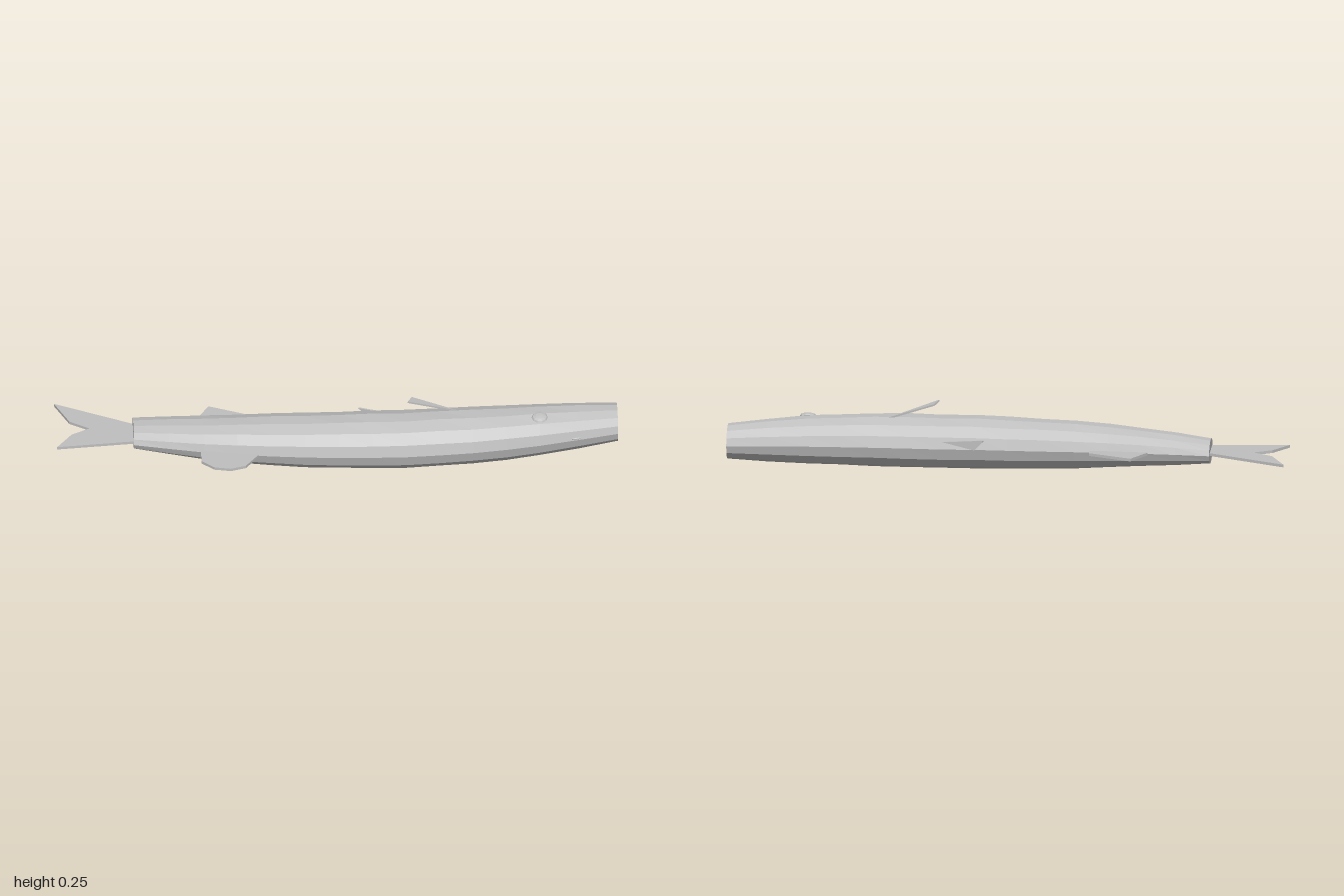
import * as THREE from 'three';

export function createModel() {
  const model = new THREE.Group();
  const grey = new THREE.MeshStandardMaterial({ color: 0xbfbfbf, flatShading: true });
  grey.name = 'fishGrey';

  const add = (geometry, name) => {
    const mesh = new THREE.Mesh(geometry, grey);
    mesh.name = name;
    model.add(mesh);
    return mesh;
  };

  // Body rings: x, zMin, zMax, yMin, yMax
  const rings = [
    [-0.725, -0.115, 0.045, 0.055, 0.14], [-0.6, -0.105, 0.075, 0.042, 0.153],
    [-0.48, -0.097, 0.102, 0.031, 0.163], [-0.36, -0.091, 0.122, 0.021, 0.172],
    [-0.24, -0.088, 0.136, 0.013, 0.178], [-0.12, -0.085, 0.147, 0.007, 0.182],
    [0, -0.083, 0.155, 0.004, 0.185], [0.12, -0.082, 0.16, 0.002, 0.188],
    [0.24, -0.083, 0.16, 0, 0.188], [0.36, -0.086, 0.156, 0.002, 0.19],
    [0.48, -0.089, 0.148, 0.005, 0.189], [0.6, -0.094, 0.133, 0.009, 0.187],
    [0.72, -0.1, 0.113, 0.015, 0.183], [0.86, -0.107, 0.08, 0.024, 0.173],
    [1, -0.113, 0.046, 0.036, 0.16],
  ];
  const sides = 14;
  const positions = [], index = [];
  rings.forEach(([x, z0, z1, y0, y1], r) => {
    for (let i = 0; i < sides; i++) {
      const a = (i / sides) * Math.PI * 2;
      const k = r > 0 && r < rings.length - 1 ? 1 + 0.015 * Math.sin(i * 7.3 + r * 4.1) : 1;
      positions.push(x,
        (y0 + y1) / 2 + Math.sin(a) * k * (y1 - y0) / 2,
        (z0 + z1) / 2 + Math.cos(a) * (z1 - z0) / 2);
    }
  });
  for (let r = 0; r < rings.length - 1; r++) {
    for (let i = 0; i < sides; i++) {
      const j = (i + 1) % sides;
      const a = r * sides + i, b = r * sides + j;
      index.push(a, a + sides, b, b, a + sides, b + sides);
    }
  }
  // Flat ends at the snout and the tail root
  const last = (rings.length - 1) * sides;
  for (let i = 1; i < sides - 1; i++) {
    index.push(0, i, i + 1, last, last + i + 1, last + i);
  }
  const body = new THREE.BufferGeometry();
  body.setAttribute('position', new THREE.Float32BufferAttribute(positions, 3));
  body.setIndex(index);
  body.computeVertexNormals();
  add(body, 'body');

  // Horizontal fin plates, outlined in (x, z)
  const flatFin = (outline, name) => {
    const shape = new THREE.Shape(outline.map(([x, z]) => new THREE.Vector2(x, -z)));
    const geometry = new THREE.ExtrudeGeometry(shape, { depth: 0.01, bevelEnabled: false });
    geometry.rotateX(-Math.PI / 2).translate(0, 0.092, 0);
    add(geometry, name);
  };
  flatFin([[-1, -0.23], [-0.7, -0.075], [-0.7, 0.027], [-0.725, 0.027], [-1, 0.053],
    [-0.945, -0.027], [-0.88, -0.064], [-0.95, -0.112]], 'tailFin');
  flatFin([[-0.53, -0.05], [-0.505, -0.096], [-0.45, -0.19], [-0.297, -0.123],
    [-0.297, -0.05]], 'rearFinBack');
  flatFin([[-0.49, 0.06], [-0.49, 0.166], [-0.446, 0.208], [-0.388, 0.22],
    [-0.334, 0.203], [-0.286, 0.134], [-0.27, 0.06]], 'rearFinFront');

  // Thin triangular fins, thickened along their own normal
  const triangleFin = (points, name) => {
    const [a, b, c] = points.map((p) => new THREE.Vector3(...p));
    const n = new THREE.Triangle(a, b, c).getNormal(new THREE.Vector3()).multiplyScalar(0.003);
    const top = [a, b, c].map((p) => p.clone().add(n));
    const low = [a, b, c].map((p) => p.clone().sub(n));
    const faces = [...top, low[0], low[2], low[1]];
    for (let i = 0; i < 3; i++) {
      const j = (i + 1) % 3;
      faces.push(low[i], low[j], top[j], low[i], top[j], top[i]);
    }
    const geometry = new THREE.BufferGeometry().setFromPoints(faces);
    geometry.computeVertexNormals();
    add(geometry, name);
  };
  triangleFin([[0.25, 0.245, 0.033], [0.43, 0.183, 0.003], [0.265, 0.238, -0.008]], 'dorsalFin');
  triangleFin([[0.08, 0.136, -0.106], [0.23, 0.12, -0.076], [0.115, 0.098, -0.1]], 'sideFin');

  // Eye: a flattened bump on the upper side of the head
  const eye = add(new THREE.SphereGeometry(0.029, 10, 6), 'eye');
  eye.scale.set(1, 0.35, 1);
  eye.position.set(0.72, 0.177, 0.047);
  eye.rotation.x = 0.22;

  // Small cheek bump, barely breaking the front surface
  const cheek = add(new THREE.SphereGeometry(0.02, 8, 6), 'cheek');
  cheek.scale.set(1, 0.22, 0.3);
  cheek.position.set(0.85, 0.105, 0.08);
  cheek.rotation.y = 0.24;

  return model;
}
